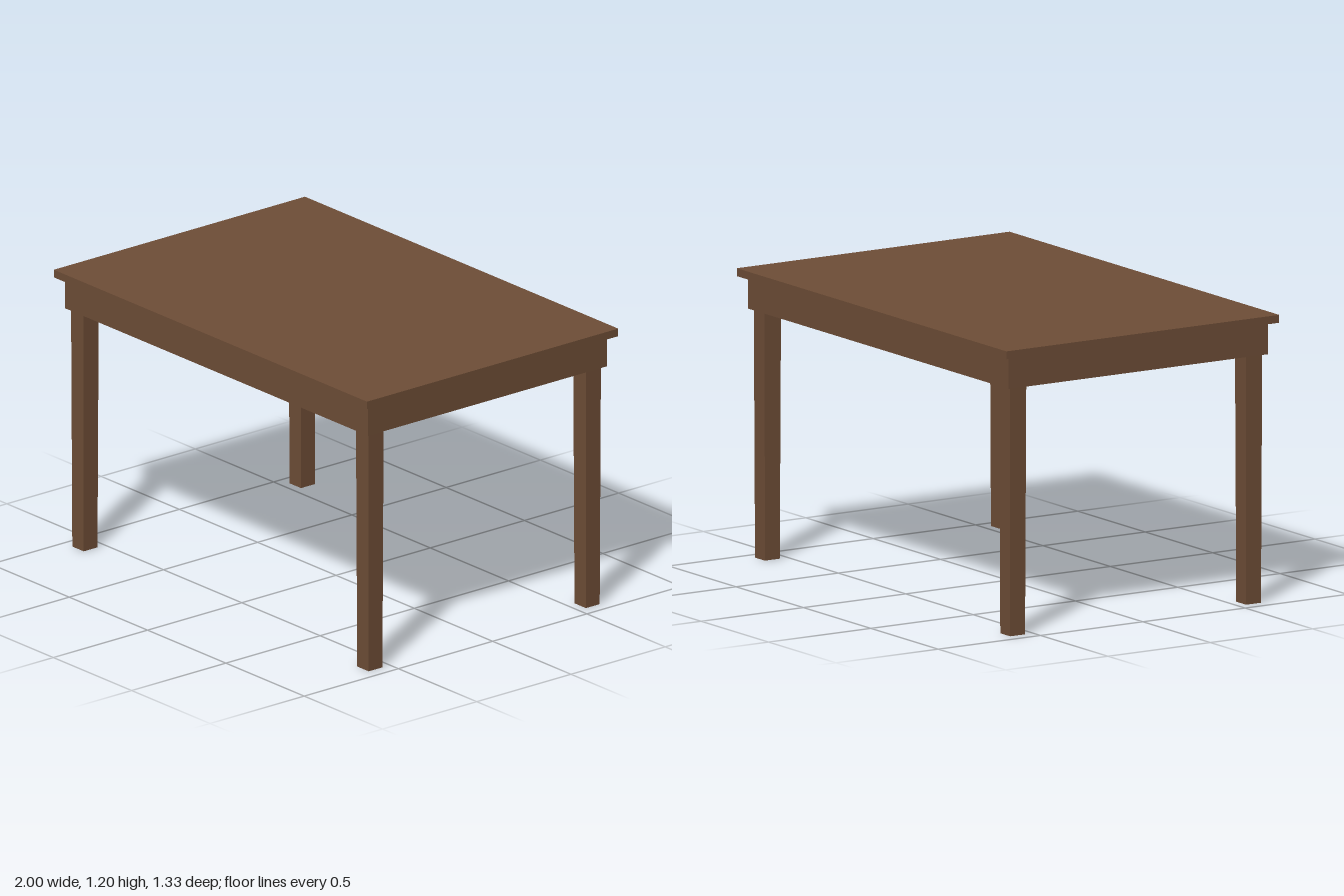
import * as THREE from 'three';

const wood = new THREE.MeshStandardMaterial({ color: 0x6f4e37, flatShading: true });

const TOP_Y = 1.203, TOP_T = 0.033;      // table top height and thickness
const UNDER_Y = TOP_Y - TOP_T;           // underside of the top
const APRON_H = 0.133, APRON_T = 0.017;
const APRON_X = 0.967, APRON_Z = 0.634;  // outer half sizes of the apron
const LEG_W = 0.081, LEG_FOOT = 0.073;

function addBox(group, name, w, h, d, x, y, z) {
  const mesh = new THREE.Mesh(new THREE.BoxGeometry(w, h, d), wood);
  mesh.name = name;
  mesh.position.set(x, y, z);
  group.add(mesh);
  return mesh;
}

// Square leg narrowing slightly and evenly towards the foot
function legGeometry() {
  const geo = new THREE.BoxGeometry(LEG_W, UNDER_Y, LEG_W);
  geo.translate(0, UNDER_Y / 2, 0);
  const p = geo.attributes.position;
  for (let i = 0; i < p.count; i++) {
    if (p.getY(i) > 0.01) continue;
    p.setX(i, p.getX(i) * LEG_FOOT / LEG_W);
    p.setZ(i, p.getZ(i) * LEG_FOOT / LEG_W);
  }
  geo.computeVertexNormals();
  return geo;
}

export function createModel() {
  const table = new THREE.Group();
  table.name = 'table';

  addBox(table, 'tableTop', 2, TOP_T, 1.333, 0, TOP_Y - TOP_T / 2, 0);

  // Apron: long boards front and back, short boards fitted between them
  const apron = new THREE.Group();
  apron.name = 'apron';
  const y = UNDER_Y - APRON_H / 2;
  for (const s of [1, -1]) {
    addBox(apron, s > 0 ? 'frontApron' : 'backApron',
      2 * APRON_X, APRON_H, APRON_T, 0, y, s * (APRON_Z - APRON_T / 2));
    addBox(apron, s > 0 ? 'leftApron' : 'rightApron',
      APRON_T, APRON_H, 2 * (APRON_Z - APRON_T), s * (APRON_X - APRON_T / 2), y, 0);
  }
  table.add(apron);

  // Legs tucked into the inner corners of the apron
  const geo = legGeometry();
  for (const sx of [1, -1]) {
    for (const sz of [1, -1]) {
      const leg = new THREE.Mesh(geo, wood);
      leg.name = (sz > 0 ? 'front' : 'back') + (sx > 0 ? 'Left' : 'Right') + 'Leg';
      leg.position.set(sx * (APRON_X - APRON_T - LEG_W / 2), 0, sz * (APRON_Z - APRON_T - LEG_W / 2));
      table.add(leg);
    }
  }
  return table;
}
